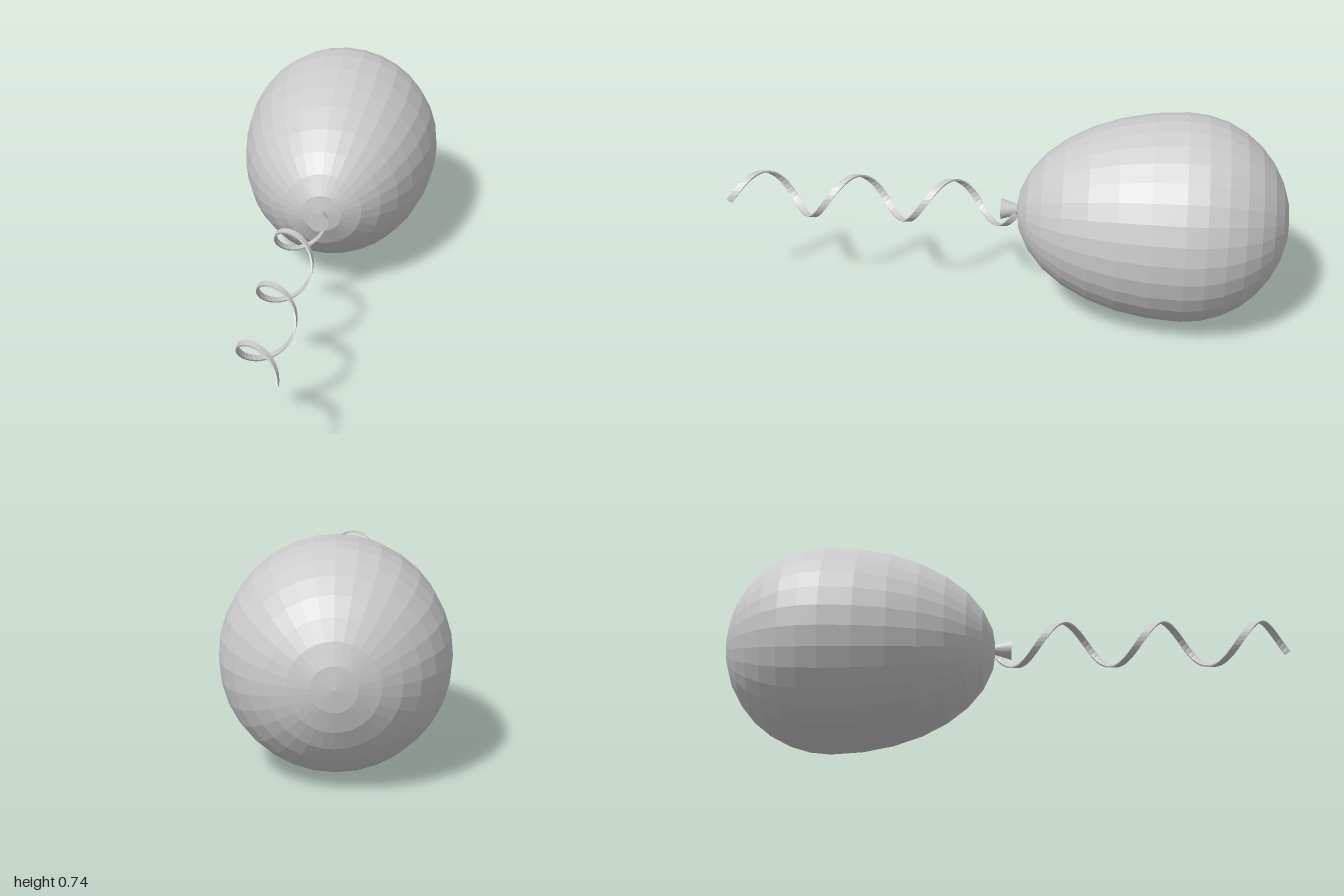
import * as THREE from 'three';

const material = new THREE.MeshStandardMaterial({ color: 0xcccccc, flatShading: true });
const AXIS_Y = 0.369;

// Sphere with its poles on z, stretched into an egg: long at the mouth, short at the crown
function balloonGeometry() {
  const geo = new THREE.SphereGeometry(1, 32, 16).rotateX(Math.PI / 2);
  const pos = geo.attributes.position;
  const radius = 0.368, widestZ = -0.635, mouth = 0.59, crown = 0.365;
  for (let i = 0; i < pos.count; i++) {
    const z = pos.getZ(i);
    pos.setXYZ(i, pos.getX(i) * radius, pos.getY(i) * radius, widestZ + z * (z > 0 ? mouth : crown));
  }
  geo.computeVertexNormals();
  return geo;
}

// Flat ribbon wound round a cylinder: a thin rectangle swept along a helix
function ribbonGeometry() {
  const turns = 3, steps = 96, radius = 0.0775, zStart = -0.045, zEnd = 0.99;
  const halfWidth = 0.0115, halfThick = 0.003;
  const section = [[-1, -1], [1, -1], [1, 1], [-1, 1]];
  const slope = (zEnd - zStart) / (turns * Math.PI * 2);
  const positions = [], indices = [];
  for (let i = 0; i <= steps; i++) {
    const t = i / steps, a = -t * turns * Math.PI * 2;
    const radial = new THREE.Vector3(Math.cos(a), Math.sin(a), 0);
    const tangent = new THREE.Vector3(Math.sin(a) * radius, -Math.cos(a) * radius, slope).normalize();
    const across = new THREE.Vector3().crossVectors(tangent, radial);
    const centre = radial.clone().multiplyScalar(radius).setZ(zStart + t * (zEnd - zStart));
    for (const [r, w] of section) {
      const p = centre.clone().addScaledVector(radial, r * halfThick).addScaledVector(across, w * halfWidth);
      positions.push(p.x, p.y, p.z);
    }
    if (i === steps) continue;
    for (let k = 0; k < 4; k++) {
      const a0 = i * 4 + k, b0 = i * 4 + (k + 1) % 4;
      indices.push(a0, b0, b0 + 4, a0, b0 + 4, a0 + 4);
    }
  }
  // End caps
  const e = steps * 4;
  indices.push(0, 2, 1, 0, 3, 2, e, e + 1, e + 2, e, e + 2, e + 3);
  const geo = new THREE.BufferGeometry();
  geo.setAttribute('position', new THREE.Float32BufferAttribute(positions, 3));
  geo.setIndex(indices);
  geo.computeVertexNormals();
  return geo;
}

export function createModel() {
  const model = new THREE.Group();
  model.name = 'balloon';
  const add = (name, geometry, x, y, z) => {
    const mesh = new THREE.Mesh(geometry, material);
    mesh.name = name;
    mesh.position.set(x, y, z);
    model.add(mesh);
  };

  add('balloonBody', balloonGeometry(), 0, AXIS_Y, 0);
  // Flared knot at the mouth
  add('knot', new THREE.CylinderGeometry(0.037, 0.015, 0.07, 32).rotateX(Math.PI / 2), 0, AXIS_Y, -0.025);
  add('curledRibbon', ribbonGeometry(), -0.056, 0.36, 0);
  return model;
}
